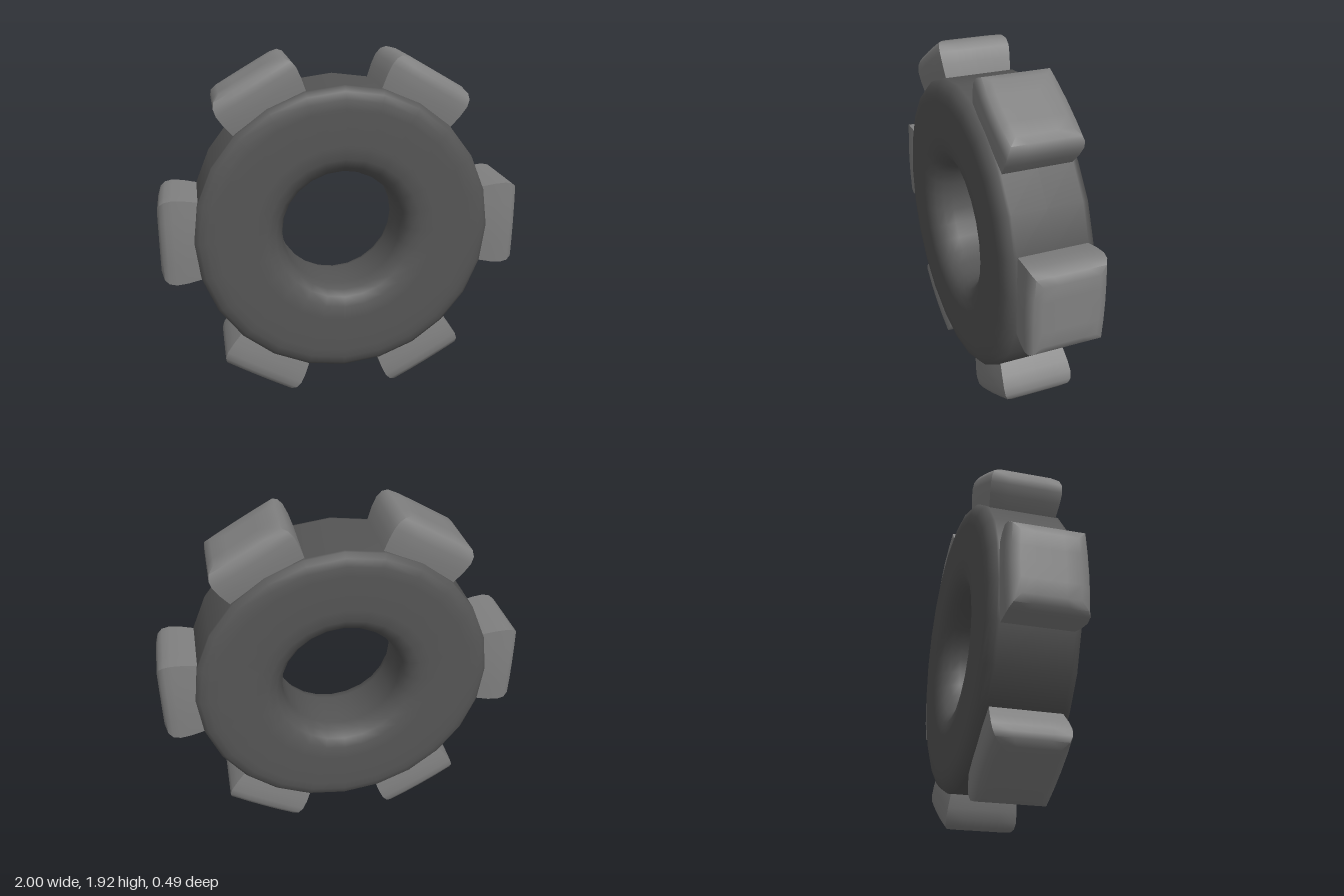
import * as THREE from 'three';
import { toCreasedNormals } from 'three/addons/utils/BufferGeometryUtils.js';

const CENTER_Y = 0.96;

// Closed ring profile (radius, z), rounded into the hole and bevelled at the rim
function ringGeometry() {
  const half = [[0.335, 0], [0.335, 0.12], [0.35, 0.175], [0.38, 0.215], [0.43, 0.24],
    [0.5, 0.247], [0.7, 0.247], [0.75, 0.242], [0.79, 0.23], [0.815, 0.205], [0.817, 0.19], [0.817, 0]];
  const mirrored = half.slice(1, -1).reverse().map(([r, z]) => [r, -z]);
  const loop = [...half, ...mirrored, half[0]];
  // reversed so that the faces point outwards
  const points = loop.reverse().map(([r, z]) => new THREE.Vector2(r, z));
  return new THREE.LatheGeometry(points, 24).rotateX(Math.PI / 2);
}

// Tooth pointing along +x: a box whose layers follow a flared, rounded outline
function toothGeometry() {
  // radius, half width, half depth
  const layers = [[0.72, 0.205, 0.175], [0.79, 0.222, 0.188], [0.86, 0.235, 0.196], [0.92, 0.24, 0.2],
    [0.96, 0.232, 0.196], [0.985, 0.212, 0.182], [1.0, 0.17, 0.145]];
  const n = layers.length - 1;
  const geometry = new THREE.BoxGeometry(1, 1, 1, n, 4, 4);
  const p = geometry.attributes.position;
  for (let i = 0; i < p.count; i++) {
    const [r, w, d] = layers[Math.round((p.getX(i) + 0.5) * n)];
    const u = p.getY(i) * 2, v = p.getZ(i) * 2;
    const bulge = 1 + 0.04 * (1 - u * u);
    p.setXYZ(i, r, u * w, v * d * bulge);
  }
  return toCreasedNormals(geometry, 0.9);
}

export function createModel() {
  const model = new THREE.Group();
  model.name = 'toothedWheel';
  const darkGrey = new THREE.MeshStandardMaterial({ color: 0x555555 });
  darkGrey.name = 'darkGrey';
  const midGrey = new THREE.MeshStandardMaterial({ color: 0x808080 });
  midGrey.name = 'midGrey';

  const ring = new THREE.Mesh(ringGeometry(), darkGrey);
  ring.name = 'ring';
  ring.position.y = CENTER_Y;
  model.add(ring);

  // Six teeth around the rim
  const geometry = toothGeometry();
  for (let i = 0; i < 6; i++) {
    const tooth = new THREE.Mesh(geometry, midGrey);
    tooth.name = `tooth${i + 1}`;
    tooth.position.y = CENTER_Y;
    tooth.rotation.z = (i * Math.PI) / 3;
    model.add(tooth);
  }
  return model;
}
